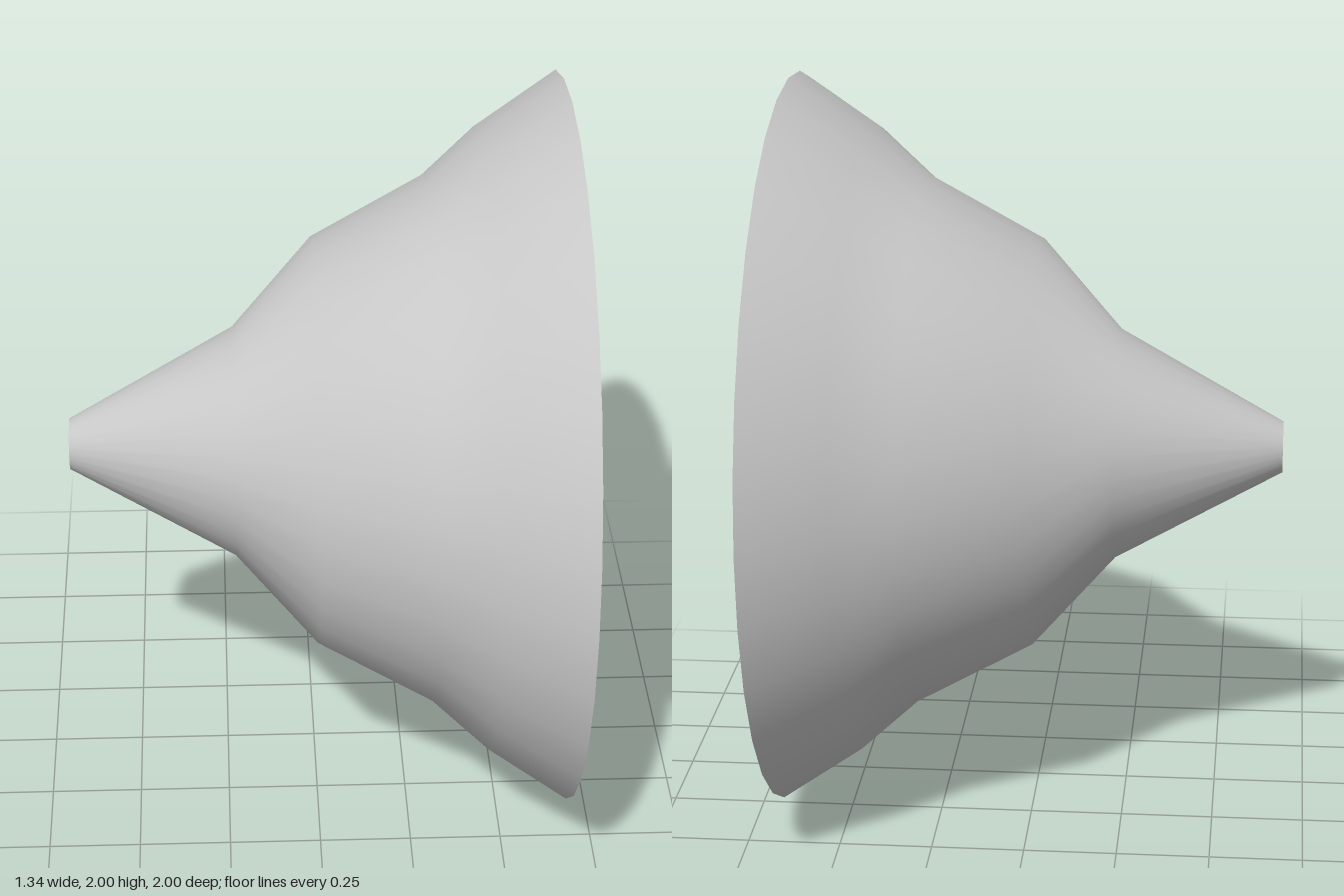
import * as THREE from 'three';

export function createModel() {
  const group = new THREE.Group();
  group.name = 'flaredHorn';

  // Profile as [distance along x, radius], from the closed tip to the open rim
  const profile = [
    [-0.67, 0], [-0.67, 0.07], [-0.22, 0.315], [0, 0.56],
    [0.31, 0.725], [0.46, 0.86], [0.67, 1],
  ].map(([x, r]) => new THREE.Vector2(r, x));

  // Thin turned shell, laid on its side so the mouth opens towards +x
  const geometry = new THREE.LatheGeometry(profile, 32);
  geometry.rotateZ(-Math.PI / 2);
  geometry.translate(0, 1, 0);

  const material = new THREE.MeshStandardMaterial({ color: 0xcccccc, side: THREE.DoubleSide });
  const shell = new THREE.Mesh(geometry, material);
  shell.name = 'hornShell';
  group.add(shell);
  return group;
}
